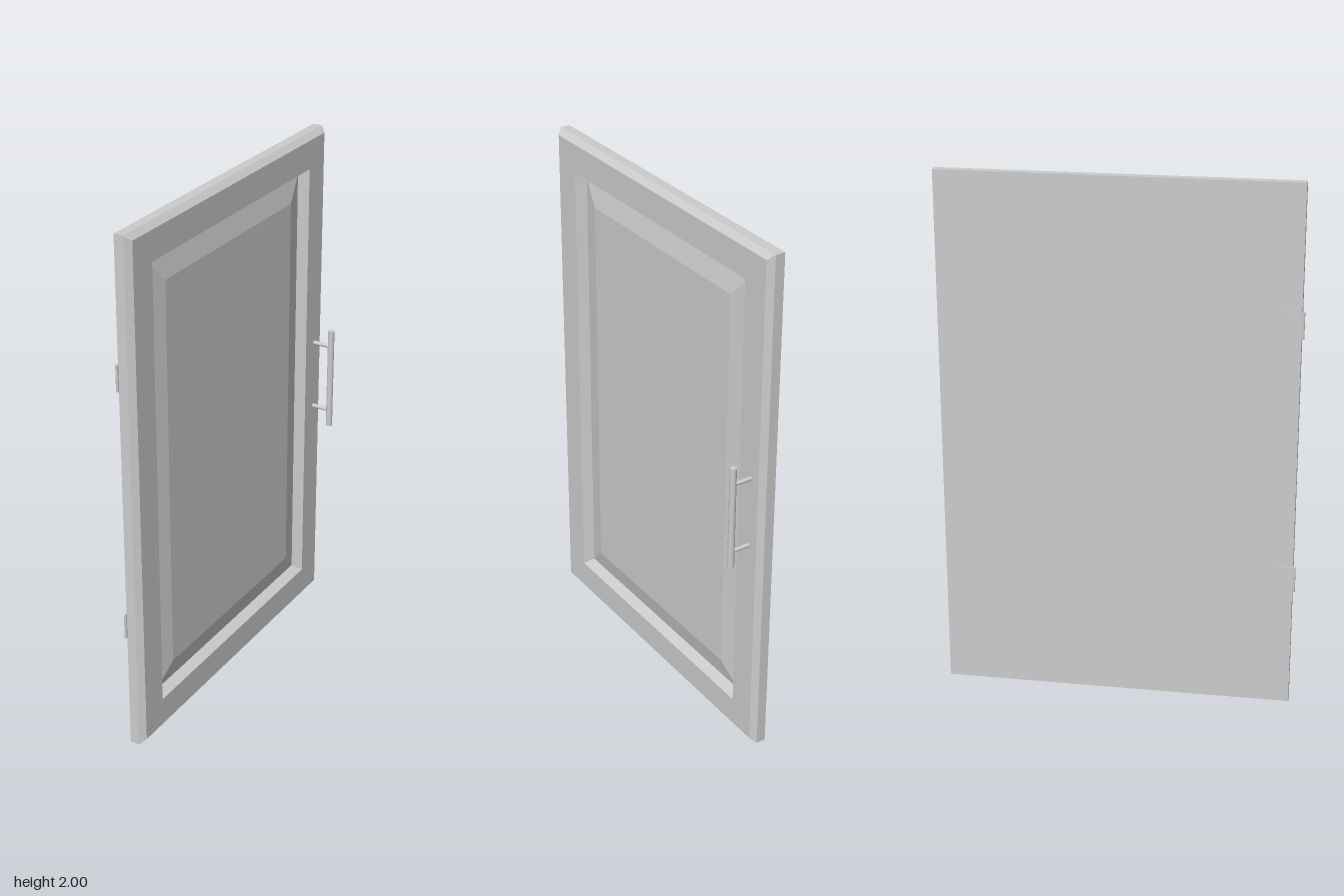
import * as THREE from 'three';

const grey = new THREE.MeshStandardMaterial({ color: 0xcccccc });
const flat = new THREE.MeshStandardMaterial({ color: 0xcccccc, flatShading: true });

function add(parent, name, geometry, x, y, z, material = grey) {
  const mesh = new THREE.Mesh(geometry, material);
  mesh.name = name;
  mesh.position.set(x, y, z);
  parent.add(mesh);
  return mesh;
}

// Solid made of nested rectangles facing +x; each section is [x, inset]
function nestedPanel(sections, halfH, halfW) {
  const rings = sections.map(([x, i]) => {
    const h = halfH - i, w = halfW - i;
    return [[x, -h, w], [x, -h, -w], [x, h, -w], [x, h, w]];
  });
  const pos = [];
  const quad = (a, b, c, d) => pos.push(...a, ...b, ...c, ...a, ...c, ...d);
  const first = rings[0], last = rings[rings.length - 1];
  quad(first[3], first[2], first[1], first[0]);
  for (let r = 0; r < rings.length - 1; r++) {
    for (let k = 0; k < 4; k++) {
      const n = (k + 1) % 4;
      quad(rings[r][k], rings[r][n], rings[r + 1][n], rings[r + 1][k]);
    }
  }
  quad(...last);
  const g = new THREE.BufferGeometry();
  g.setAttribute('position', new THREE.Float32BufferAttribute(pos, 3));
  g.computeVertexNormals();
  return g;
}

export function createModel() {
  const model = new THREE.Group();
  model.name = 'cabinetDoor';

  // Door: chamfered rim, sloped recess, raised centre panel
  const profile = [
    [-0.07, 0], [-0.033, 0], [-0.012, 0.02],
    [-0.012, 0.13], [-0.05, 0.15], [-0.031, 0.235],
  ];
  add(model, 'doorPanel', nestedPanel(profile, 1, 0.66), 0, 1, -0.005, flat);

  // Bar handle on two posts
  const handle = new THREE.Group();
  handle.name = 'handle';
  model.add(handle);
  add(handle, 'handleBar', new THREE.CylinderGeometry(0.0125, 0.0125, 0.41, 20), 0.0625, 1.002, -0.6);
  for (const y of [0.865, 1.14]) {
    const post = add(handle, 'handlePost', new THREE.CylinderGeometry(0.008, 0.008, 0.076, 16), 0.025, y, -0.6);
    post.rotation.z = Math.PI / 2;
  }

  // Hinges: thin leaf on the back with a barrel past the edge
  for (const y of [0.51, 1.49]) {
    const hinge = new THREE.Group();
    hinge.name = 'hinge';
    model.add(hinge);
    add(hinge, 'hingeLeaf', new THREE.BoxGeometry(0.005, 0.1, 0.06), -0.0715, y, 0.629);
    add(hinge, 'hingeBarrel', new THREE.CylinderGeometry(0.005, 0.005, 0.1, 12), -0.072, y, 0.66);
  }
  return model;
}
